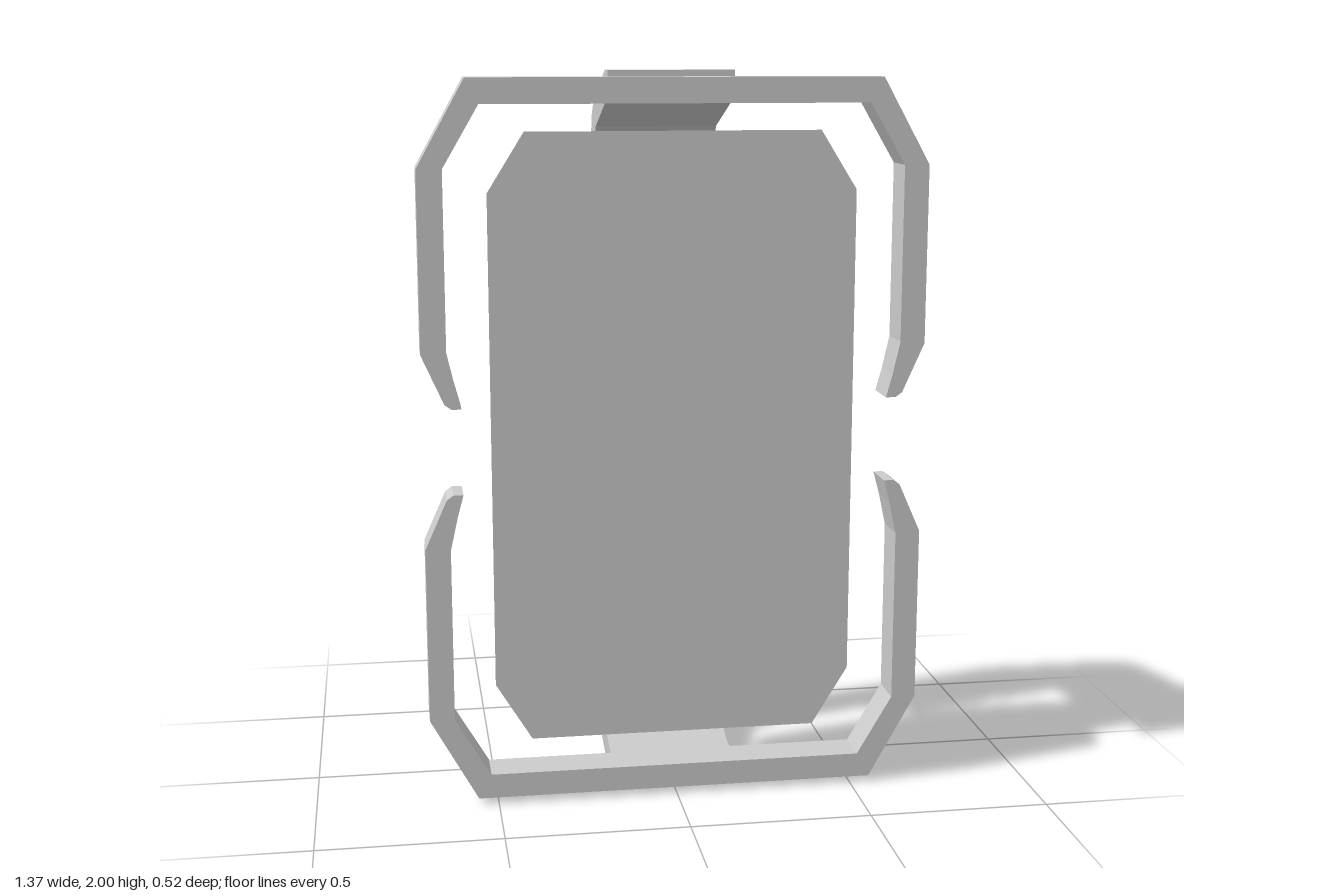
import * as THREE from 'three';

const material = new THREE.MeshStandardMaterial({ color: 0xcccccc, flatShading: true });
const panelMaterial = new THREE.MeshStandardMaterial({ color: 0xcccccc, side: THREE.DoubleSide });

const toShape = (points) => new THREE.Shape(points.map(([x, y]) => new THREE.Vector2(x, y)));

function addMesh(parent, name, geometry, mat = material) {
  const mesh = new THREE.Mesh(geometry, mat);
  mesh.name = name;
  parent.add(mesh);
  return mesh;
}

// Flat bar with a given outline, centred along its extrusion
function extrude(points, depth) {
  const geometry = new THREE.ExtrudeGeometry(toShape(points), { depth, bevelEnabled: false });
  return geometry.translate(0, 0, -depth / 2);
}

// Folded clasp: a six-sided section swept along four stations
function claspGeometry() {
  // [x, z] of the rear and front corners at each station
  const half = [
    { rear: [0.185, -0.262], front: [0.17, -0.185] },
    { rear: [0.35, -0.19], front: [0.328, -0.113] },
  ];
  const flip = ({ rear, front }) => ({ rear: [-rear[0], rear[1]], front: [-front[0], front[1]] });
  const stations = [flip(half[1]), flip(half[0]), half[0], half[1]];
  const [top, ridgeTop, bottom, ridgeBottom] = [1.345, 1.36, 1.03, 1.015];

  const rings = stations.map(({ rear, front }) => {
    const mid = [(rear[0] + front[0]) / 2, (rear[1] + front[1]) / 2];
    return [
      [rear, top], [mid, ridgeTop], [front, top],
      [front, bottom], [mid, ridgeBottom], [rear, bottom],
    ].map(([p, y]) => [p[0], y, p[1]]);
  });

  const positions = [];
  const tri = (a, b, c) => positions.push(...a, ...b, ...c);
  for (let i = 0; i < rings.length - 1; i++) {
    for (let k = 0; k < 6; k++) {
      const n = (k + 1) % 6;
      tri(rings[i][k], rings[i + 1][n], rings[i + 1][k]);
      tri(rings[i][k], rings[i][n], rings[i + 1][n]);
    }
  }
  const first = rings[0];
  const last = rings[rings.length - 1];
  for (let k = 1; k < 5; k++) {
    tri(first[0], first[k + 1], first[k]);
    tri(last[0], last[k], last[k + 1]);
  }
  const geometry = new THREE.BufferGeometry();
  geometry.setAttribute('position', new THREE.Float32BufferAttribute(positions, 3));
  geometry.computeVertexNormals();
  return geometry;
}

// Upper half: frame hoop, strap and clasp
function createHalf(name) {
  const half = new THREE.Group();
  half.name = name;

  const outer = [[0.555, 1.983], [0.685, 1.75], [0.685, 1.265], [0.625, 1.13], [0.607, 1.117]];
  const inner = [[0.58, 1.117], [0.597, 1.18], [0.617, 1.27], [0.617, 1.75], [0.52, 1.915]];
  const side = [...outer, ...inner];
  const mirrored = side.map(([x, y]) => [-x, y]).reverse();
  addMesh(half, 'frameHoop', extrude([...side, ...mirrored], 0.112)).position.z = 0.206;

  // Strap profile as [z, y]
  const strap = [
    [0.155, 2], [0.1, 2], [-0.16, 1.92], [-0.222, 1.867], [-0.262, 1.71], [-0.262, 1.342],
    [-0.185, 1.342], [-0.185, 1.71], [-0.162, 1.8], [-0.12, 1.842], [0.11, 1.916], [0.155, 1.916],
  ];
  const strapGeometry = extrude(strap.map(([z, y]) => [-z, y]), 0.344).rotateY(Math.PI / 2);
  addMesh(half, 'strap', strapGeometry);

  addMesh(half, 'clasp', claspGeometry());
  return half;
}

export function createModel() {
  const model = new THREE.Group();
  model.name = 'strappedPanel';

  // Thin panel with cut corners
  const panel = [
    [-0.4, 0.162], [0.4, 0.162], [0.5, 0.325], [0.5, 1.682],
    [0.4, 1.842], [-0.4, 1.842], [-0.5, 1.682], [-0.5, 0.325],
  ];
  addMesh(model, 'panel', new THREE.ShapeGeometry(toShape(panel)), panelMaterial).position.z = 0.205;

  // The lower half is the upper half turned upside down
  const lower = createHalf('lowerHalf');
  lower.rotation.z = Math.PI;
  lower.position.y = 2;
  model.add(createHalf('upperHalf'), lower);

  // Small pin joining the two clasps
  addMesh(model, 'claspPin', new THREE.BoxGeometry(0.1, 0.06, 0.04)).position.set(0, 1, -0.223);

  return model;
}
